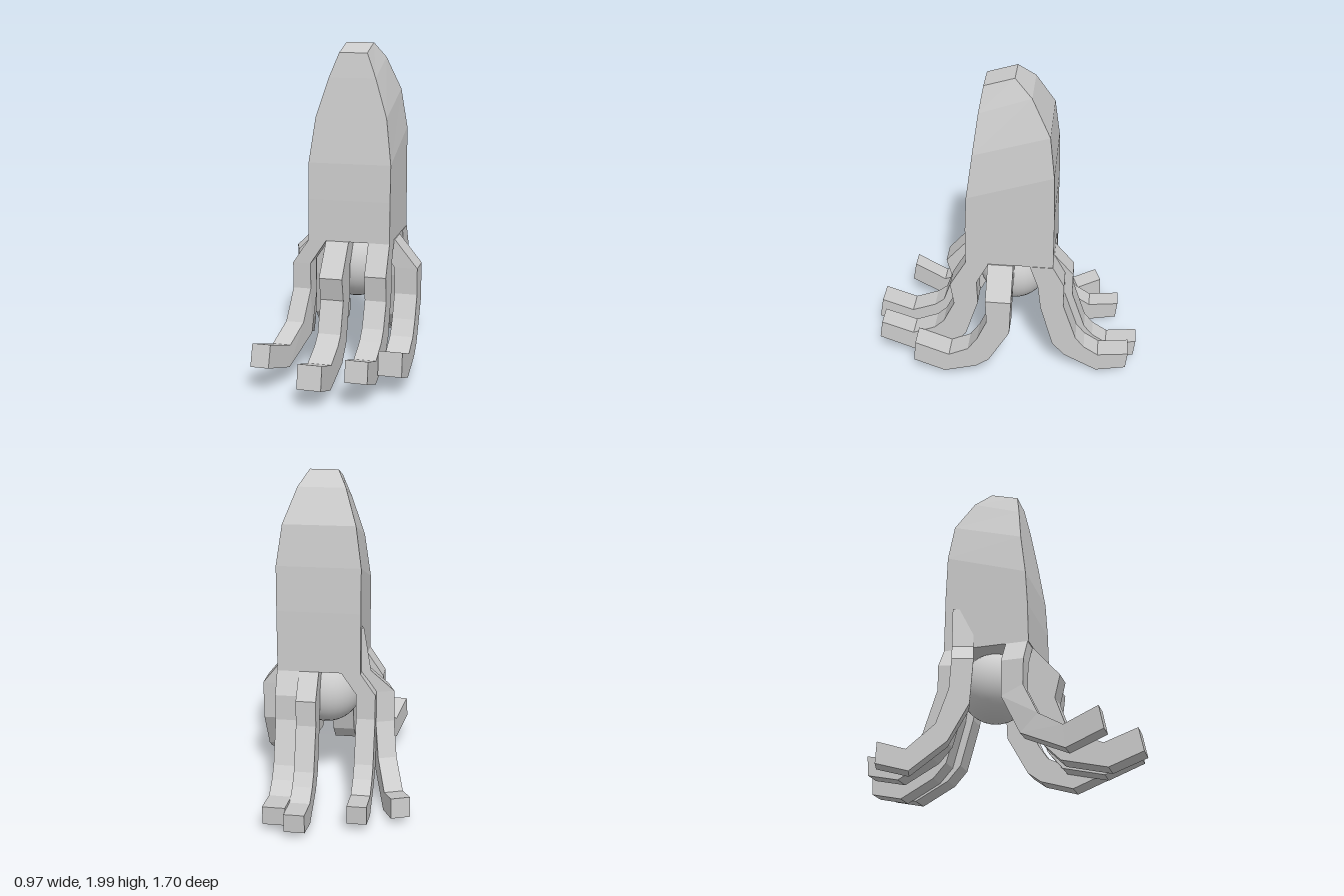
import * as THREE from 'three';

const material = new THREE.MeshStandardMaterial({ color: 0xcccccc, flatShading: true });
const smooth = new THREE.MeshStandardMaterial({ color: 0xcccccc });

// Faceted solid through a list of four-cornered sections, capped at both ends
function loft(name, rings) {
  const tris = [];
  const quad = (a, b, c, d) => tris.push([a, b, c], [a, c, d]);
  for (let i = 0; i + 1 < rings.length; i++) {
    for (let k = 0; k < 4; k++) {
      const m = (k + 1) % 4;
      quad(rings[i][k], rings[i][m], rings[i + 1][m], rings[i + 1][k]);
    }
  }
  const last = rings[rings.length - 1];
  quad(rings[0][3], rings[0][2], rings[0][1], rings[0][0]);
  quad(last[0], last[1], last[2], last[3]);

  // Turn every face outward if the sections wind the other way
  const volume = tris.reduce((sum, [a, b, c]) => sum + a.dot(b.clone().cross(c)), 0);
  if (volume < 0) tris.forEach((t) => t.reverse());

  const geometry = new THREE.BufferGeometry().setFromPoints(tris.flat());
  geometry.computeVertexNormals();
  const mesh = new THREE.Mesh(geometry, material);
  mesh.name = name;
  return mesh;
}

// Tentacle from side profiles. Each section: [outer reach, outer y, inner reach, inner y, sideways shift].
// origin = [x, z] of one side, reach = direction of growth, across = direction of its width
function tentacle(name, { origin, reach, across, width, sections, splay = 0, splayFrom = 0 }) {
  const point = (r, y, w) => {
    const side = w - splay * Math.max(0, r - splayFrom);
    return new THREE.Vector3(
      origin[0] + reach[0] * r + across[0] * side, y,
      origin[1] + reach[1] * r + across[1] * side);
  };
  return loft(name, sections.map(([ro, yo, ri, yi, s = 0]) => [
    point(ro, yo, s), point(ro, yo, s + width), point(ri, yi, s + width), point(ri, yi, s),
  ]));
}

export function createModel() {
  const group = new THREE.Group();

  // Mantle: [half width, front z, front y, back z, back y]
  const cx = 0.09;
  group.add(loft('mantle', [
    [0.25, 0.22, 0.83, -0.31, 0.83],
    [0.25, 0.217, 1.08, -0.308, 1.2],
    [0.25, 0.206, 1.3, -0.3, 1.47],
    [0.215, 0.17, 1.57, -0.27, 1.71],
    [0.142, 0.14, 1.8, -0.16, 1.91],
    [0.085, 0.115, 1.945, -0.06, 2],
  ].map(([h, zf, yf, zb, yb]) => [
    new THREE.Vector3(cx - h, yf, zf), new THREE.Vector3(cx + h, yf, zf),
    new THREE.Vector3(cx + h, yb, zb), new THREE.Vector3(cx - h, yb, zb),
  ])));

  // Round head under the mantle
  const head = new THREE.Mesh(new THREE.SphereGeometry(0.217, 32, 20), smooth);
  head.name = 'head';
  head.position.set(0.077, 0.645, -0.053);
  group.add(head);

  // Front tentacles
  group.add(tentacle('frontCentreTentacle', {
    origin: [-0.05, 0], reach: [0, 1], across: [1, 0], width: 0.14,
    sections: [
      [0.22, 0.83, 0.08, 0.83], [0.38, 0.64, 0.18, 0.685], [0.345, 0.5, 0.18, 0.52],
      [0.41, 0.31, 0.27, 0.22], [0.47, 0.26, 0.37, 0.12], [0.62, 0.2, 0.64, 0.055], [0.82, 0.27, 0.845, 0.13],
    ],
  }));
  group.add(tentacle('frontLeftTentacle', {
    origin: [0.21, 0], reach: [0, 1], across: [1, 0], width: 0.13,
    sections: [
      [0.22, 0.83, 0.08, 0.83], [0.32, 0.65, 0.155, 0.68], [0.3, 0.5, 0.15, 0.52],
      [0.37, 0.35, 0.23, 0.26], [0.43, 0.29, 0.32, 0.15], [0.57, 0.23, 0.57, 0.09], [0.77, 0.3, 0.79, 0.175],
    ],
  }));

  // Side tentacles, stepping out of the mantle before turning
  group.add(tentacle('leftTentacle', {
    origin: [0.485, 0], reach: [0, 1], across: [-1, 0], width: 0.14,
    sections: [
      [0.085, 0.83, -0.07, 0.83, 0.14], [0.085, 0.655, -0.07, 0.655], [0.08, 0.49, -0.06, 0.415],
      [0.14, 0.35, 0.07, 0.18], [0.2, 0.26, 0.15, 0.12], [0.32, 0.2, 0.35, 0.06], [0.53, 0.28, 0.545, 0.135],
    ],
  }));
  group.add(tentacle('rightFrontTentacle', {
    origin: [-0.26, 0], reach: [0, 1], across: [1, 0], width: 0.11, splay: 0.25, splayFrom: 0.215,
    sections: [
      [0.215, 0.83, 0.08, 0.83, 0.1], [0.215, 0.68, 0.08, 0.68], [0.21, 0.52, 0.08, 0.46],
      [0.3, 0.33, 0.19, 0.23], [0.45, 0.235, 0.46, 0.1], [0.66, 0.305, 0.685, 0.17],
    ],
  }));
  group.add(tentacle('rightBackTentacle', {
    origin: [-0.31, -0.07], reach: [-0.335, -0.942], across: [0.942, -0.335], width: 0.115,
    sections: [
      [0.128, 1.1, 0, 1.1, 0.19], [0.128, 0.83, 0, 0.83, 0.145], [0.128, 0.69, 0, 0.69],
      [0.14, 0.5, 0.02, 0.415], [0.21, 0.29, 0.14, 0.19], [0.37, 0.14, 0.35, 0.015], [0.53, 0.18, 0.535, 0.055],
    ],
  }));

  // Back tentacles share one curve, each set a little further in
  const back = [
    [0.31, 0.83, 0.17, 0.83], [0.43, 0.685, 0.27, 0.67], [0.43, 0.53, 0.29, 0.5],
    [0.515, 0.27, 0.37, 0.21], [0.57, 0.2, 0.45, 0.12], [0.66, 0.14, 0.655, 0.01], [0.85, 0.165, 0.84, 0.05],
  ];
  [
    ['backCentreTentacle', 0.09, 0.12, 0, 0, 0],
    ['backLeftTentacle', 0.21, 0.133, 0.05, 0.012, 0],
    ['backRightTentacle', -0.25, 0.115, 0.12, 0.014, 0.09],
  ].forEach(([name, x, width, inset, lift, shift]) => group.add(tentacle(name, {
    origin: [x, 0], reach: [0, -1], across: [1, 0], width,
    sections: back.map(([ro, yo, ri, yi], i) => i === 0
      ? [ro, yo, ri, yi, shift]
      : [ro - inset, yo + lift, ri - inset, yi + lift]),
  })));

  return group;
}
